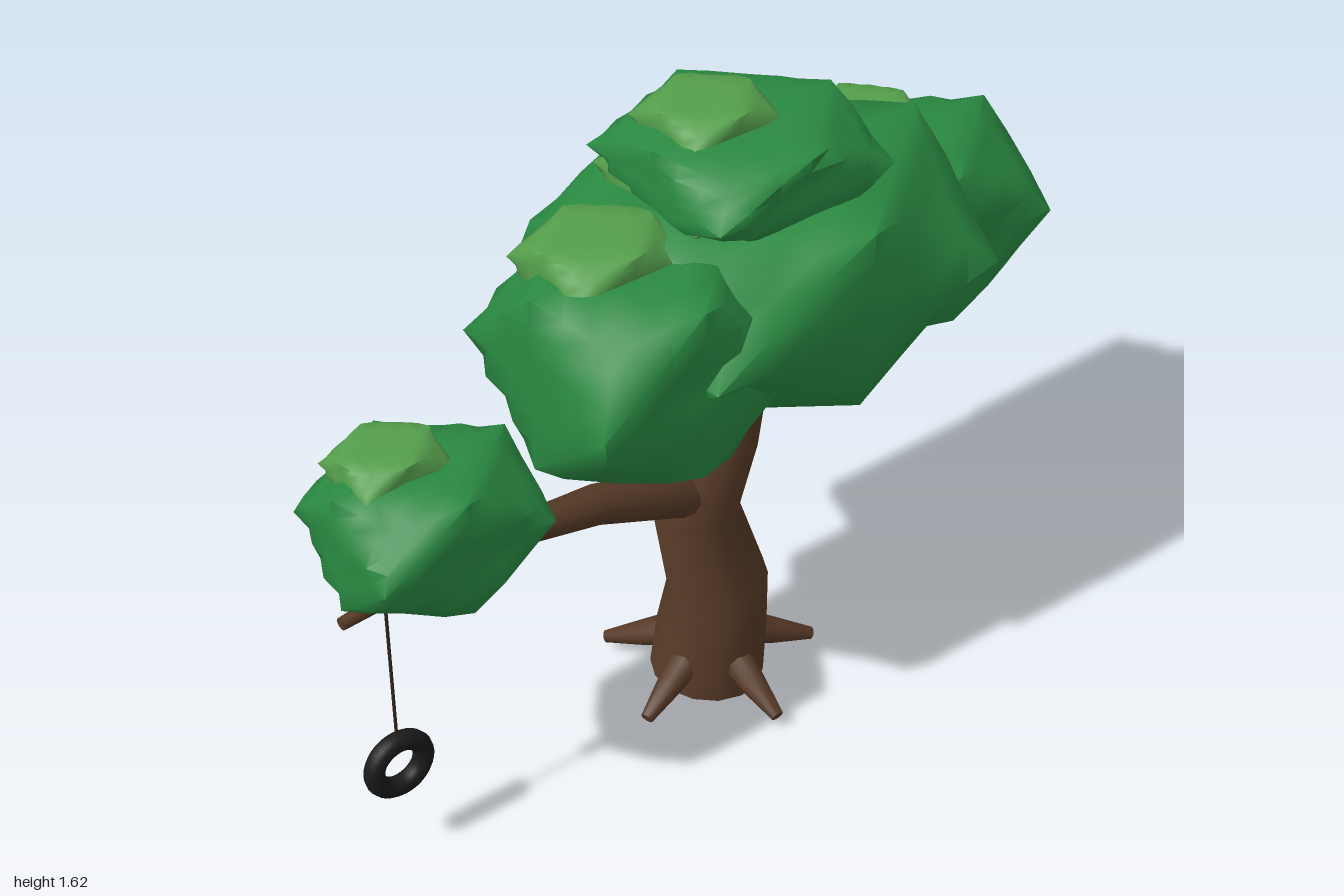
import * as THREE from 'three';
import { mergeVertices, toCreasedNormals } from 'three/addons/utils/BufferGeometryUtils.js';

const material = (color) => new THREE.MeshStandardMaterial({ color });

// Tapered limb with closed ends; each point is [x, y, z, radius]
function limbGeometry(points, sides = 14) {
  const centres = points.map((p) => new THREE.Vector3(p[0], p[1], p[2]));
  const pos = [], index = [];
  const last = points.length - 1;
  centres.forEach((c, i) => {
    const t = centres[Math.min(i + 1, last)].clone().sub(centres[Math.max(i - 1, 0)]).normalize();
    const a = new THREE.Vector3(0, 0, 1).addScaledVector(t, -t.z).normalize();
    const b = t.clone().cross(a);
    for (let j = 0; j < sides; j++) {
      const q = (j / sides) * Math.PI * 2, r = points[i][3];
      const v = c.clone().addScaledVector(a, r * Math.cos(q)).addScaledVector(b, r * Math.sin(q));
      pos.push(v.x, v.y, v.z);
    }
  });
  const start = pos.length / 3, end = start + 1;
  pos.push(...centres[0].toArray(), ...centres[last].toArray());
  for (let j = 0; j < sides; j++) {
    const k = (j + 1) % sides;
    for (let i = 0; i < last; i++) {
      const p = i * sides, n = p + sides;
      index.push(p + j, p + k, n + k, p + j, n + k, n + j);
    }
    index.push(start, k, j, end, last * sides + j, last * sides + k);
  }
  const g = new THREE.BufferGeometry();
  g.setAttribute('position', new THREE.Float32BufferAttribute(pos, 3));
  g.setIndex(index);
  return toCreasedNormals(g, 0.7);
}

// Leaf clump: a box with its corners cut away, fuller towards the lean, gently dented
function clumpGeometry([x0, x1, y0, y1, z0, z1], seed, limit, lean = [0, 0, 0]) {
  let g = new THREE.BoxGeometry(2, 2, 2, 6, 6, 6);
  g.deleteAttribute('uv');
  g.deleteAttribute('normal');
  g = mergeVertices(g);
  const p = g.attributes.position, v = new THREE.Vector3(), fuller = new THREE.Vector3(...lean);
  for (let i = 0; i < p.count; i++) {
    v.fromBufferAttribute(p, i);
    const sum = Math.abs(v.x) + Math.abs(v.y) + Math.abs(v.z);
    const wave = Math.sin(2.6 * v.x + seed) * Math.sin(2.9 * v.y + 2 * seed) * Math.sin(2.3 * v.z + 3 * seed);
    v.multiplyScalar(Math.min(1, (limit + fuller.dot(v)) / sum) * (1 - 0.06 * Math.abs(wave)));
    p.setXYZ(i, v.x, v.y, v.z);
  }
  g.scale((x1 - x0) / 2, (y1 - y0) / 2, (z1 - z0) / 2);
  g.translate((x0 + x1) / 2, (y0 + y1) / 2, (z0 + z1) / 2);
  return toCreasedNormals(g, 1.1);
}

export function createModel() {
  const tree = new THREE.Group();
  tree.name = 'treeWithTireSwing';
  const bark = material(0x573a27);
  const leaf = material(0x2a8a42);
  const lightLeaf = material(0x559f4c);
  const add = (name, geometry, mat, parent = tree) => {
    const mesh = new THREE.Mesh(geometry, mat);
    mesh.name = name;
    parent.add(mesh);
    return mesh;
  };

  // Trunk and the two boughs
  add('trunk', limbGeometry([
    [0.052, 0.012, -0.005, 0.142], [0.064, 0.16, 0, 0.136], [0.073, 0.3, 0.008, 0.125],
    [0.022, 0.54, -0.014, 0.107], [0.08, 0.73, 0.008, 0.092], [0.15, 0.91, 0, 0.068], [0.2, 1.03, 0, 0.055],
  ]), bark);
  add('leftwardBough', limbGeometry([
    [0.03, 0.58, 0, 0.065], [-0.05, 0.62, 0.01, 0.06], [-0.3, 0.72, 0.03, 0.048],
    [-0.6, 0.775, 0.045, 0.032], [-0.8, 0.768, 0.055, 0.023], [-1, 0.755, 0.065, 0.015],
  ]), bark);
  add('rightwardBough', limbGeometry([
    [0.1, 0.74, -0.01, 0.06], [0.28, 0.855, -0.05, 0.052], [0.45, 0.95, -0.1, 0.042], [0.6, 1.02, -0.12, 0.03],
  ]), bark);

  // Five roots around the foot
  const roots = new THREE.Group();
  roots.name = 'roots';
  roots.position.x = 0.057;
  tree.add(roots);
  const rootGeometry = limbGeometry([[0.08, 0.115, 0, 0.045], [0.17, 0.075, 0, 0.034], [0.272, 0.035, 0, 0.016]], 10);
  for (let i = 0; i < 5; i++) {
    add('root', rootGeometry, bark, roots).rotation.y = -Math.PI / 2 + (i * Math.PI * 2) / 5;
  }

  // Dark leaf clumps: x, y and z ranges, then the lean
  const clumps = {
    boughEndLeaves: [[-1, -0.555, 0.795, 1.1, -0.12, 0.26], [-0.04, -0.03, 0]],
    leftwardLeaves: [[-0.49, 0.06, 0.935, 1.39, -0.2, 0.34], [-0.05, -0.08, 0.06]],
    middleLeaves: [[-0.22, 0.65, 0.935, 1.43, -0.365, 0.375], [-0.05, 0.08, -0.12]],
    rightwardLeaves: [[0.4, 1, 0.85, 1.275, -0.38, 0.135], [0, -0.08, 0]],
    crownLeaves: [[-0.105, 0.405, 1.37, 1.575, -0.25, 0.235], [-0.06, 0, 0]],
  };
  Object.entries(clumps).forEach(([name, [box, lean]], i) => add(name, clumpGeometry(box, i + 1, 2.03, lean), leaf));

  // Light tufts on top of the clumps
  const tufts = {
    boughEndTuft: [-0.945, -0.72, 1.03, 1.14, -0.07, 0.12],
    leftwardTuft: [-0.41, -0.11, 1.29, 1.44, -0.125, 0.145],
    middleTuft: [-0.1, 0.2, 1.36, 1.5, -0.245, 0.15],
    rightwardTuft: [0.57, 0.775, 1.19, 1.335, -0.3, -0.05],
    crownTuft: [-0.04, 0.215, 1.5, 1.62, -0.18, 0.06],
  };
  Object.entries(tufts).forEach(([name, box], i) => add(name, clumpGeometry(box, i + 11, 2.1), lightLeaf));

  // Tire swing
  const swing = new THREE.Group();
  swing.name = 'tireSwing';
  swing.position.set(-0.888, 0, 0.065);
  tree.add(swing);
  add('rope', new THREE.CylinderGeometry(0.004, 0.004, 0.41, 8), material(0x33261c), swing).position.y = 0.555;
  add('tire', new THREE.TorusGeometry(0.066, 0.025, 12, 32), material(0x1a1a1a), swing).position.y = 0.275;

  return tree;
}
